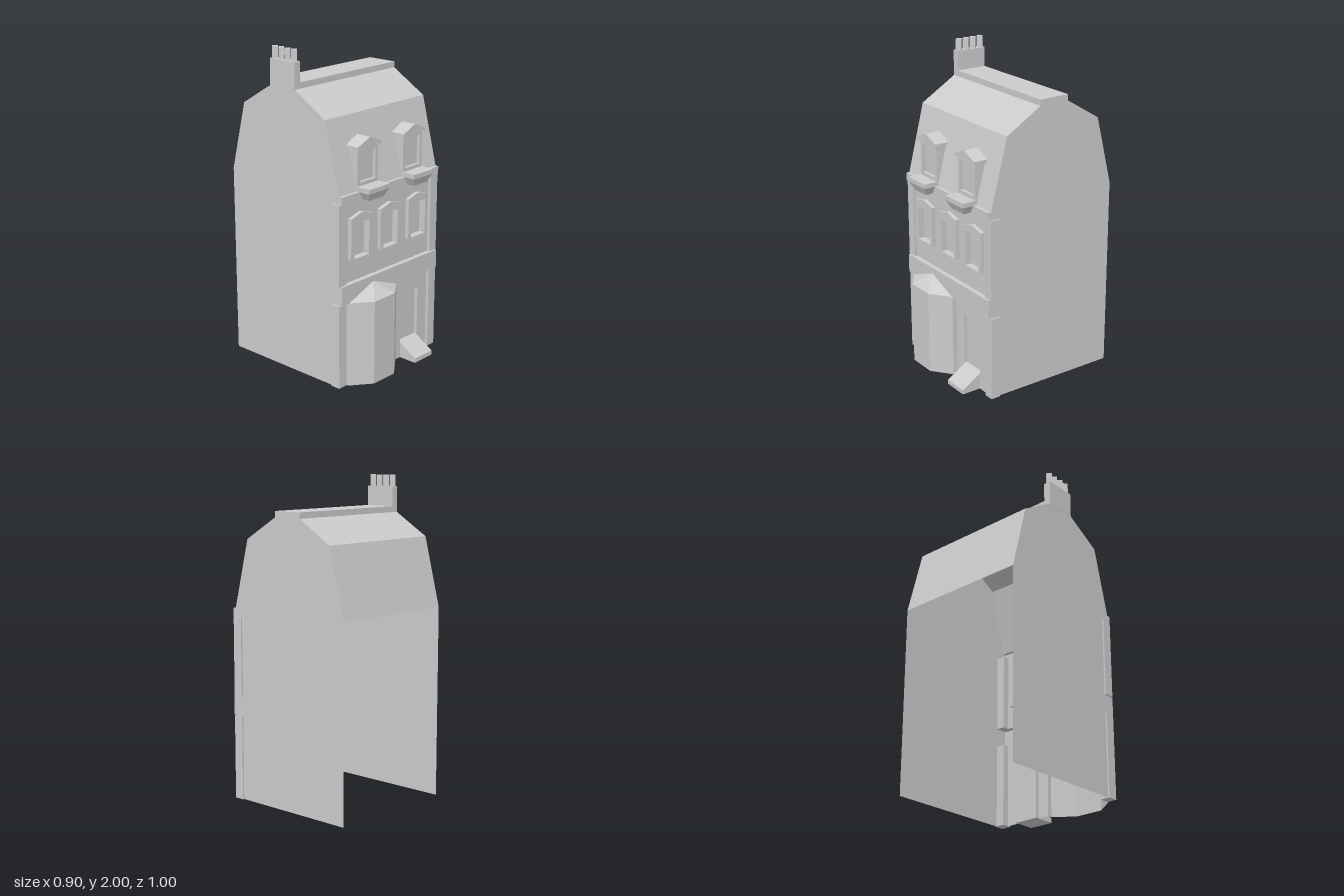
import * as THREE from 'three';

const grey = new THREE.MeshStandardMaterial({ color: 0xcccccc, flatShading: true, side: THREE.DoubleSide });
const HALF = 0.44, WALL = 0.375, LEDGE = 0.407;

// depth of the steep front roof slope at a given height
const roofZ = (y) => 0.385 - 0.11 * (y - 1.2) / 0.43;

const shapeOf = (pts) => new THREE.Shape(pts.map(([x, y]) => new THREE.Vector2(x, y)));
const rect = (x0, x1, y0, y1) => [[x0, y0], [x1, y0], [x1, y1], [x0, y1]];
const gable = (x, half, y0, eave, apex) =>
  [[x - half, y0], [x + half, y0], [x + half, eave], [x, apex], [x - half, eave]];

function withHoles(pts, holes) {
  const s = shapeOf(pts);
  holes.forEach((h) => s.holes.push(shapeOf(h)));
  return s;
}

function reshape(geo, rule) {
  const p = geo.attributes.position, v = new THREE.Vector3();
  for (let i = 0; i < p.count; i++) {
    v.fromBufferAttribute(p, i);
    rule(v, i);
    p.setXYZ(i, v.x, v.y, v.z);
  }
  geo.computeVertexNormals();
  return geo;
}

// front-facing extrusion between two depths
function slab(shape, z0, z1) {
  return new THREE.ExtrudeGeometry(shape, { depth: z1 - z0, bevelEnabled: false }).translate(0, 0, z0);
}

// extrusion whose back is trimmed to the roof slope
const slabOnRoof = (shape, z1) =>
  reshape(slab(shape, 0, z1), (v) => { if (v.z < 0.1) v.z = roofZ(v.y); });

// open sheet following a [z, y] profile across the width of the house
function sheet(profile) {
  return reshape(new THREE.PlaneGeometry(2 * HALF, 1, 1, profile.length - 1), (v, i) => {
    [v.z, v.y] = profile[Math.floor(i / 2)];
  });
}

function box(x0, x1, y0, y1, z0, z1) {
  return new THREE.BoxGeometry(x1 - x0, y1 - y0, z1 - z0)
    .translate((x0 + x1) / 2, (y0 + y1) / 2, (z0 + z1) / 2);
}

export function createModel() {
  const house = new THREE.Group();
  house.name = 'townhouse';
  const add = (name, geo, parent = house) => {
    const m = new THREE.Mesh(geo, grey);
    m.name = name;
    parent.add(m);
    return m;
  };
  const pane = (name, pts, z, parent) =>
    add(name, new THREE.ShapeGeometry(shapeOf(pts)).translate(0, 0, z), parent);

  // side walls
  const roofLine = [[-0.5, 1.2], [-0.39, 1.63], [-0.16, 1.77], [-0.16, 1.807], [0.04, 1.807], [0.04, 1.77], [0.275, 1.63]];
  const sideProfile = [[-0.5, 0], ...roofLine, [0.385, 1.2], [LEDGE, 1.2], [LEDGE, 1.15],
    [WALL, 1.15], [WALL, 0.65], [LEDGE, 0.65], [LEDGE, 0.53], [WALL, 0.53], [WALL, 0]];
  for (const s of [-1, 1]) {
    add(s > 0 ? 'leftWall' : 'rightWall',
      new THREE.ShapeGeometry(shapeOf(sideProfile)).rotateY(-Math.PI / 2).translate(s * HALF, 0, 0));
  }

  // roof, with the back left open below the eaves
  add('roof', sheet(roofLine));
  const dormerXs = [-0.203, 0.203], windowXs = [-0.26, 0, 0.26];
  const dormerOpening = (x) => rect(x - 0.068, x + 0.068, 1.25, 1.43);
  add('frontRoofSlope', reshape(
    new THREE.ShapeGeometry(withHoles(rect(-HALF, HALF, 1.2, 1.63), dormerXs.map(dormerOpening))),
    (v) => { v.z = roofZ(v.y); }));

  // horizontal bands
  add('cornice', sheet([[0.385, 1.2], [LEDGE, 1.2], [LEDGE, 1.15], [WALL, 1.15]]));
  add('shopBand', sheet([[WALL, 0.65], [LEDGE, 0.65], [LEDGE, 0.53], [WALL, 0.53]]));

  // upper front wall and its windows
  const opening = (x) => rect(x - 0.065, x + 0.065, 0.794, 1.01);
  add('upperFrontWall', new THREE.ShapeGeometry(
    withHoles(rect(-HALF, HALF, 0.65, 1.15), windowXs.map(opening))).translate(0, 0, WALL));
  windowXs.forEach((x) => {
    const g = new THREE.Group();
    g.name = 'window';
    house.add(g);
    add('windowSurround', slab(withHoles(gable(x, 0.093, 0.79, 1.045, 1.07), [opening(x)]), 0.355, 0.4), g);
    pane('windowPane', opening(x), 0.357, g);
  });

  // ground floor wall, open behind the bay, notched for the door
  add('lowerFrontWall', new THREE.ShapeGeometry(shapeOf([
    [0.055, 0], [0.135, 0], [0.135, 0.43], [0.3, 0.43], [0.3, 0], [HALF, 0], [HALF, 0.53],
    [-HALF, 0.53], [-HALF, 0], [-0.38, 0], [-0.38, 0.528], [0.055, 0.528],
  ])).translate(0, 0, WALL));

  // door
  add('doorReveal', slab(shapeOf([[0.13, 0], [0.135, 0], [0.135, 0.43], [0.3, 0.43], [0.3, 0],
    [0.305, 0], [0.305, 0.435], [0.13, 0.435]]), 0.35, WALL - 0.001));
  pane('door', rect(0.135, 0.3, 0, 0.43), 0.352);
  add('doorStep', new THREE.ExtrudeGeometry(
    shapeOf([[0.353, 0], [0.5, 0], [0.5, 0.028], [0.365, 0.108], [0.353, 0.108]]),
    { depth: 0.165, bevelEnabled: false }).rotateY(-Math.PI / 2).translate(0.3, 0, 0));

  // corner pilasters
  for (const s of [-1, 1]) {
    for (const [y0, y1] of [[0, 0.53], [0.65, 1.15]]) {
      add('pilaster', box(-0.0325, 0.0325, y0, y1, 0.33, 0.394)).position.x = s * 0.4175;
    }
  }

  // bay window: apex row, eaves row, ground row
  const bay = [[-0.38, WALL], [-0.38, 0.405], [-0.255, 0.5], [-0.07, 0.5], [0.055, 0.405], [0.055, WALL]];
  add('bayWindow', reshape(new THREE.PlaneGeometry(1, 1, 5, 2), (v, i) => {
    const row = Math.floor(i / 6);
    if (row === 0) v.set(-0.163, 0.615, 0.405);
    else v.set(bay[i % 6][0], row === 1 ? 0.533 : 0, bay[i % 6][1]);
  }));

  // dormers with planters
  dormerXs.forEach((x) => {
    const g = new THREE.Group();
    g.name = 'dormer';
    house.add(g);
    add('dormerFront', slabOnRoof(
      withHoles(gable(x, 0.088, 1.2, 1.45, 1.485), [dormerOpening(x)]), 0.392), g);
    pane('dormerPane', dormerOpening(x), 0.37, g);
    add('dormerRoof', slabOnRoof(shapeOf([[x - 0.103, 1.45], [x, 1.483], [x + 0.103, 1.45],
      [x + 0.103, 1.468], [x, 1.512], [x - 0.103, 1.468]]), 0.408), g);
    add('planterRim', box(x - 0.09, x + 0.09, 1.2, 1.228, 0.38, 0.482), g);
    add('planterBase', reshape(box(-0.09, 0.09, 1.15, 1.2, 0.38, 0.482), (v) => {
      if (v.y < 1.17) {
        v.x *= 0.69;
        if (v.z > 0.4) v.z = 0.457;
      }
      v.x += x;
    }), g);
  });

  // chimney and four-sided pots
  add('chimney', box(-0.442, -0.395, 1.76, 1.93, -0.16, 0.04));
  for (let i = 0; i < 4; i++) {
    add('chimneyPot', new THREE.CylinderGeometry(0.024, 0.024, 0.07, 4)
      .translate(-0.418, 1.965, -0.14 + i * 0.052));
  }
  return house;
}
